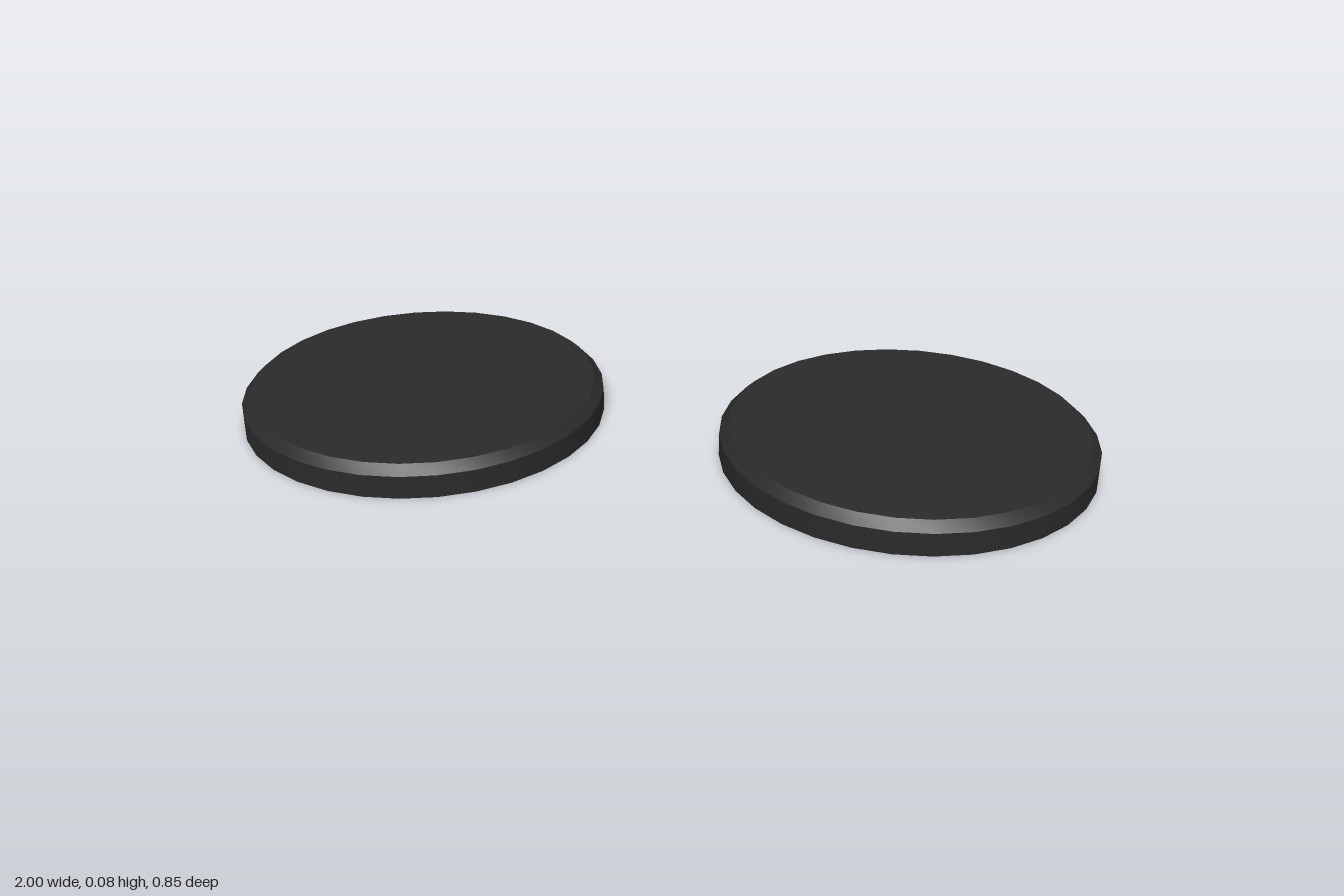
import * as THREE from 'three';
import { toCreasedNormals } from 'three/addons/utils/BufferGeometryUtils.js';

const RADIUS = 0.427, HEIGHT = 0.075, BEVEL = 0.021, OFFSET = 0.573;

export function createModel() {
  const model = new THREE.Group();
  model.name = 'discPair';
  const material = new THREE.MeshStandardMaterial({ color: 0x2a2a2a });

  // Closed disc profile: flat base, straight wall, chamfered rim, flat top
  const profile = [
    [0, 0],
    [RADIUS, 0],
    [RADIUS, HEIGHT - BEVEL],
    [RADIUS - BEVEL, HEIGHT],
    [0, HEIGHT],
  ].map(([r, y]) => new THREE.Vector2(r, y));
  const geometry = toCreasedNormals(new THREE.LatheGeometry(profile, 32), Math.PI / 6);

  // Two matching discs side by side
  for (const [name, side] of [['leftDisc', 1], ['rightDisc', -1]]) {
    const disc = new THREE.Mesh(geometry, material);
    disc.name = name;
    disc.position.x = side * OFFSET;
    model.add(disc);
  }
  return model;
}
